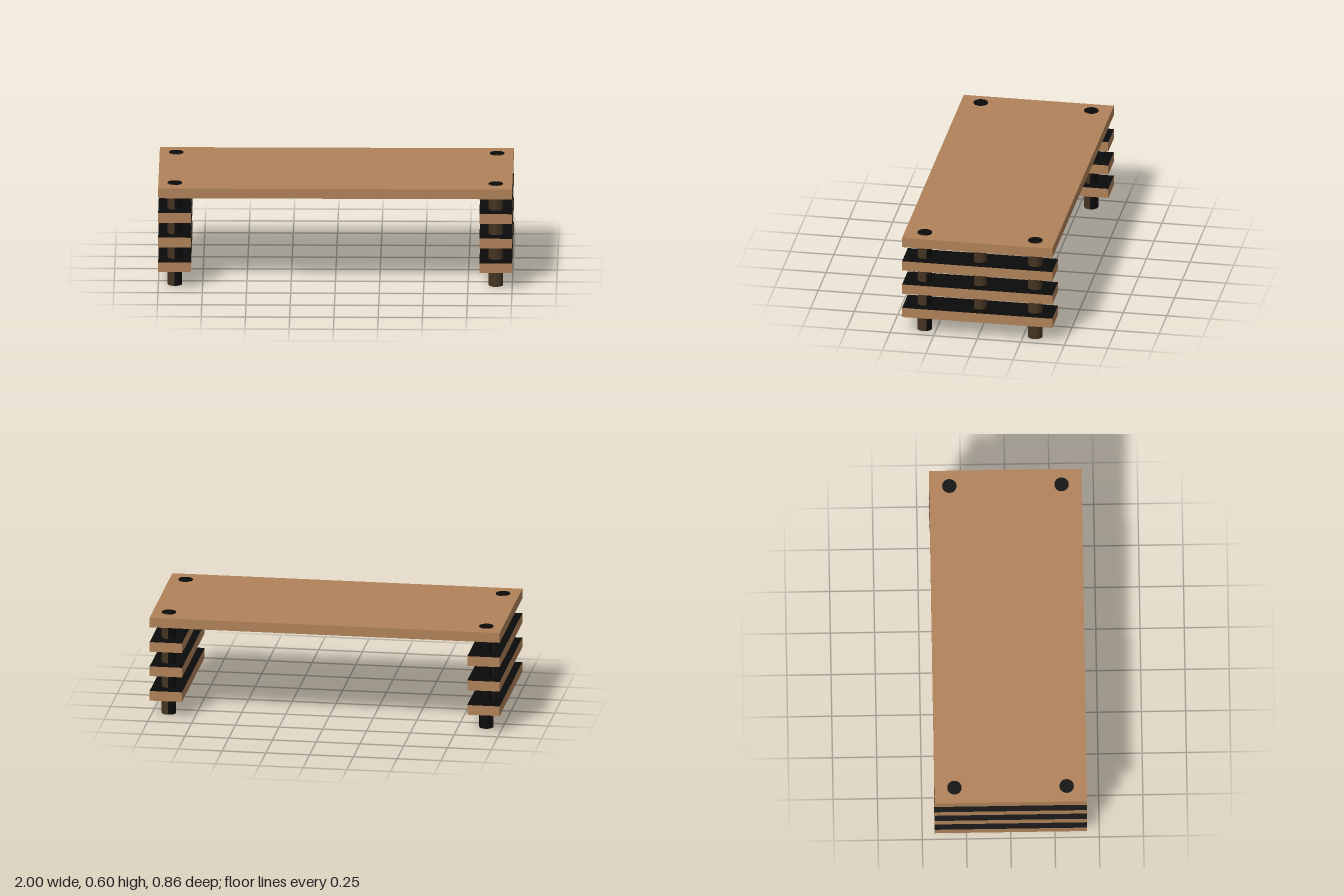
import * as THREE from 'three';

const wood = new THREE.MeshStandardMaterial({ color: 0xb08259 });
wood.name = 'wood';
const darkWood = new THREE.MeshStandardMaterial({ color: 0x453422 });
darkWood.name = 'dark wood';
const black = new THREE.MeshStandardMaterial({ color: 0x0b0b0b });
black.name = 'black';

const STEP = Math.PI / 8; // one of the 16 sides of a post
const POST_RADIUS = 0.041;

// Flat plank; its top face may have its own colour
function plank(name, width, x, y, topMaterial) {
  const geometry = new THREE.BoxGeometry(width, 0.057, 0.862);
  const mesh = new THREE.Mesh(geometry, [wood, wood, topMaterial, wood, wood, wood]);
  mesh.name = name;
  mesh.position.set(x, y, 0);
  return mesh;
}

// Round post: a blackened arc of sides, dark wood on the remaining sides
function post(name, x, z, bottom, top, blackStart, blackSides) {
  const group = new THREE.Group();
  group.name = name;
  const height = top - bottom;
  const arc = (label, material, start, sides) => {
    const mesh = new THREE.Mesh(
      new THREE.CylinderGeometry(POST_RADIUS, POST_RADIUS, height, sides, 1, true, start * STEP, sides * STEP),
      material
    );
    mesh.name = label;
    group.add(mesh);
  };
  arc('blackSides', black, blackStart, blackSides);
  arc('woodSides', darkWood, blackStart + blackSides, 16 - blackSides);

  // End caps
  for (const [label, side, material] of [['topCap', 1, black], ['bottomCap', -1, darkWood]]) {
    const cap = new THREE.Mesh(new THREE.CircleGeometry(POST_RADIUS, 16), material);
    cap.name = label;
    cap.rotation.x = -side * Math.PI / 2;
    cap.position.y = side * height / 2;
    group.add(cap);
  }
  group.position.set(x, (top + bottom) / 2, z);
  return group;
}

export function createModel() {
  const table = new THREE.Group();
  table.name = 'table';

  // Table top
  table.add(plank('tableTop', 2, 0, 0.5635, wood));

  // Shelf slats at both ends
  for (const [end, s] of [['left', 1], ['right', -1]]) {
    [0.13, 0.275, 0.419].forEach((y, i) => {
      table.add(plank(`${end}Slat${i + 1}`, 0.185, s * 0.9075, y, black));
    });
  }

  // Corner posts run through the top, middle posts between the slats
  const X = 0.907, Z = 0.317;
  table.add(
    post('leftFrontPost', X, Z, 0, 0.597, 5, 7),
    post('leftBackPost', X, -Z, 0, 0.597, 8, 7),
    post('rightFrontPost', -X, Z, 0, 0.597, 0, 8),
    post('rightBackPost', -X, -Z, 0, 0.597, 4, 7),
    post('leftMiddlePost', X, 0, 0.12, 0.56, -5, 7),
    post('rightMiddlePost', -X, 0, 0.12, 0.56, 0, 7)
  );
  return table;
}
